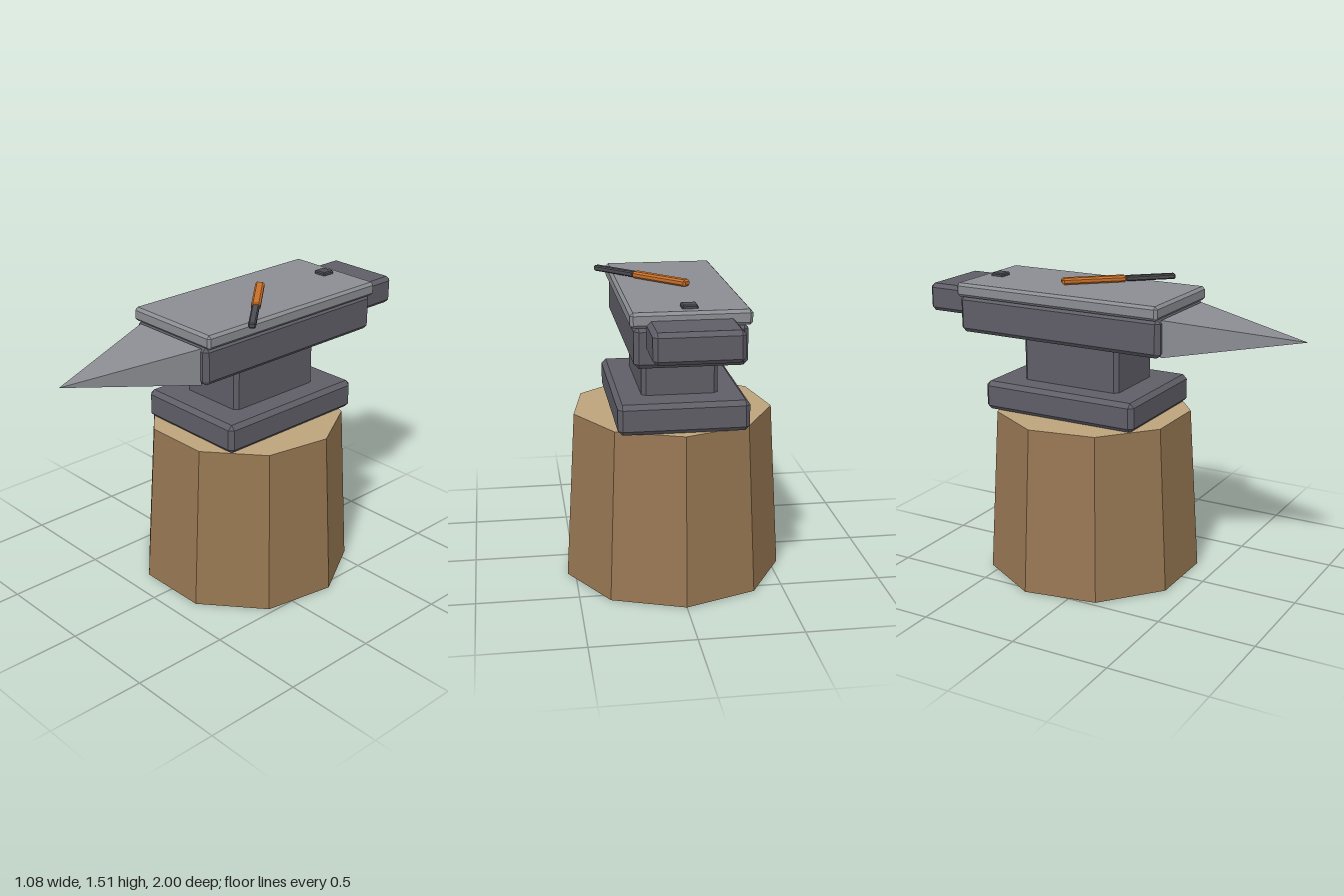
import * as THREE from 'three';
import { ConvexGeometry } from 'three/addons/geometries/ConvexGeometry.js';

const mat = (name, color) => {
  const m = new THREE.MeshStandardMaterial({ color, flatShading: true });
  m.name = name;
  return m;
};

// Box with flat chamfers of size c on every edge
function chamferBox(w, h, d, c) {
  const pts = [];
  for (const x of [-1, 1]) for (const y of [-1, 1]) for (const z of [-1, 1]) {
    const [a, b, e] = [w / 2, h / 2, d / 2];
    pts.push(new THREE.Vector3(x * a, y * (b - c), z * (e - c)));
    pts.push(new THREE.Vector3(x * (a - c), y * b, z * (e - c)));
    pts.push(new THREE.Vector3(x * (a - c), y * (b - c), z * e));
  }
  return new ConvexGeometry(pts);
}

export function createModel() {
  const steel = mat('dark steel', 0x5f5d66);
  const face = mat('polished steel', 0x8b8d92);
  const iron = mat('black iron', 0x4c4c52);
  const bark = mat('wood side', 0x967652);
  const cut = mat('cut wood', 0xbca37c);
  const hot = mat('orange handle', 0xc8702a);

  const model = new THREE.Group();
  model.name = 'anvilOnStump';
  const add = (name, geometry, material, x = 0, y = 0, z = 0, turn = 0) => {
    const mesh = new THREE.Mesh(geometry, material);
    mesh.name = name;
    mesh.position.set(x, y, z);
    mesh.rotation.y = turn;
    model.add(mesh);
    return mesh;
  };
  // Chamfered block given by half width, y range and z range
  const block = (name, material, hw, y0, y1, z0, z1, c) =>
    add(name, chamferBox(hw * 2, y1 - y0, z1 - z0, c), material, 0, (y0 + y1) / 2, (z0 + z1) / 2);

  // Nine-sided tapered stump
  add('stump', new THREE.CylinderGeometry(0.497, 0.548, 0.845, 9), [bark, cut, cut], 0, 0.4225, -0.135, Math.PI);

  // Anvil blocks
  block('foot', steel, 0.31, 0.845, 0.992, -0.595, 0.25, 0.022);
  block('waist', steel, 0.182, 0.95, 1.25, -0.44, 0.10, 0.02);
  block('body', steel, 0.255, 1.215, 1.405, -0.775, 0.36, 0.022);
  block('heel', steel, 0.2, 1.29, 1.433, -1.0, -0.72, 0.02);
  block('facePlate', face, 0.272, 1.4, 1.47, -0.78, 0.355, 0.014);
  block('hardyPeg', iron, 0.036, 1.44, 1.486, -0.726, -0.654, 0.006);

  // Four-sided horn, its tip a little above the middle of its base
  const [hw, y0, y1, z0] = [0.22, 1.216, 1.398, 0.355];
  const corners = [[-hw, y0], [hw, y0], [hw, y1], [-hw, y1]].map(([x, y]) => new THREE.Vector3(x, y, z0));
  add('horn', new ConvexGeometry([...corners, new THREE.Vector3(0, 1.323, 1.0)]), face);

  // Tool lying across the face
  const turn = 0.74;
  add('toolHandle', chamferBox(0.046, 0.033, 0.33, 0.009), hot, 0.054, 1.489, -0.163, turn);
  add('toolBlade', chamferBox(0.036, 0.027, 0.26, 0.006), iron, 0.25, 1.489, 0.052, turn);

  return model;
}
